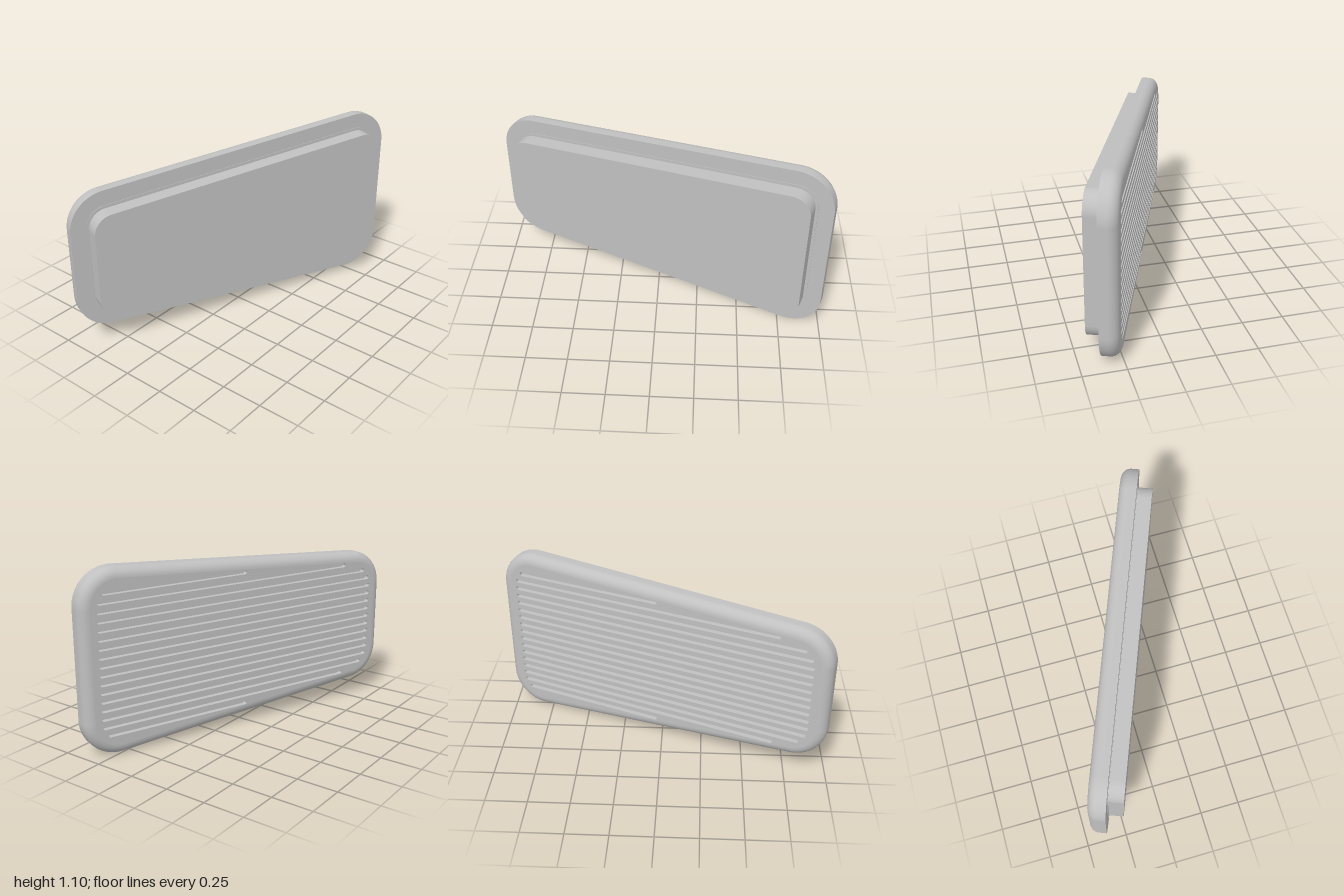
import * as THREE from 'three';

// Local frame: x runs along the plate to its tall end, y is up, z is out of the front.
const HALF_LEN = 1.068, HALF_H = 0.493, SLOPE = 0.0685, R = 0.22;
const TILT = Math.atan(SLOPE), MID_Y = 0.552;
const FRONT = 0.016, BACK = -0.09, FILLET = 0.06, PAD_FRONT = 0.108;
const centreX = HALF_LEN - R;
const centreY = (x) => HALF_H + SLOPE * x - R / Math.cos(TILT);

// Rounded trapezoid, moved inward by the given inset
function outline(inset) {
  const r = R - inset, q = Math.PI / 2;
  const tall = centreY(centreX), low = centreY(-centreX);
  const s = new THREE.Shape();
  s.absarc(centreX, tall, r, 0, q + TILT, false);
  s.absarc(-centreX, low, r, q + TILT, 2 * q, false);
  s.absarc(-centreX, -low, r, 2 * q, 3 * q - TILT, false);
  s.absarc(centreX, -tall, r, 3 * q - TILT, 4 * q, false);
  return s.getPoints(14);
}

// Horizontal slot with round ends
function slotOutline(x0, x1, y, r) {
  const s = new THREE.Shape();
  s.absarc(x1 - r, y, r, -Math.PI / 2, Math.PI / 2, false);
  s.absarc(x0 + r, y, r, Math.PI / 2, Math.PI * 1.5, false);
  return s.getPoints(6);
}

// Wall through rings of equal point count, listed from front to back
function wall(rings) {
  const pos = [], idx = [], n = rings[0].pts.length;
  rings.forEach(({ pts, z }) => pts.forEach((p) => pos.push(p.x, p.y, z)));
  for (let j = 0; j < rings.length - 1; j++) {
    for (let i = 0; i < n; i++) {
      const a = j * n + i, b = j * n + (i + 1) % n;
      idx.push(a, a + n, b, b, a + n, b + n);
    }
  }
  const g = new THREE.BufferGeometry();
  g.setAttribute('position', new THREE.Float32BufferAttribute(pos, 3));
  g.setIndex(idx);
  g.computeVertexNormals();
  return g;
}

// Flat face at depth z, turned to the front or the back
function face(pts, z, toBack = false, holes = []) {
  const shape = new THREE.Shape(pts);
  shape.holes = holes.map((h) => new THREE.Path(h));
  const g = new THREE.ShapeGeometry(shape);
  g.translate(0, 0, z);
  if (toBack) {
    g.index.array.reverse();
    g.computeVertexNormals();
  }
  return g;
}

export function createModel() {
  const grey = new THREE.MeshStandardMaterial({ color: 0xc0c0c0 });
  grey.name = 'grey';
  const model = new THREE.Group();
  model.name = 'ventCover';
  const add = (name, geometry) => {
    const m = new THREE.Mesh(geometry, grey);
    m.name = name;
    model.add(m);
  };

  // Flange: straight rim, then a rounded edge towards the back
  const rings = [{ pts: outline(0), z: FRONT }];
  for (let i = 0; i <= 8; i++) {
    const t = (i / 8) * Math.PI / 2;
    rings.push({
      pts: outline(FILLET * (1 - Math.cos(t))),
      z: BACK + FILLET * (1 - Math.sin(t)),
    });
  }
  add('flangeRim', wall(rings));
  add('flangeFront', face(outline(0), FRONT));

  // Slots across the back, cut short by the rounded corners and sloping edges
  const slots = [], w = 0.012, inset = 0.1, r = R - inset;
  const reach = (y, cy) => centreX + (y > cy ? Math.sqrt(Math.max(0, r * r - (y - cy) ** 2)) : r);
  for (let k = -8; k <= 8; k++) {
    const y = k * 0.052, h = Math.abs(y);
    const edge = (h + w + FILLET + 0.005 - HALF_H) / SLOPE;
    const x0 = Math.max(-reach(h, centreY(-centreX)), edge);
    slots.push(slotOutline(x0, reach(h, centreY(centreX)), y, w));
  }
  add('flangeBack', face(outline(FILLET), BACK, true, slots));
  const floor = BACK + 0.03;
  slots.forEach((pts) => {
    const inward = [...pts].reverse();
    add('slotWall', wall([{ pts: inward, z: floor }, { pts: inward, z: BACK }]));
    add('slotFloor', face(pts, floor, true));
  });

  // Thin seat around the pad, then the raised pad
  [['padSeat', 0.09, FRONT + 0.003], ['pad', 0.108, PAD_FRONT]].forEach(([name, i, z]) => {
    const pts = outline(i);
    add(name + 'Side', wall([{ pts, z }, { pts, z: FRONT }]));
    add(name + 'Front', face(pts, z));
  });

  // Stand the plate upright and turn it
  model.rotation.y = 1.198;
  model.position.y = MID_Y;
  const root = new THREE.Group();
  root.name = 'model';
  root.add(model);
  return root;
}
